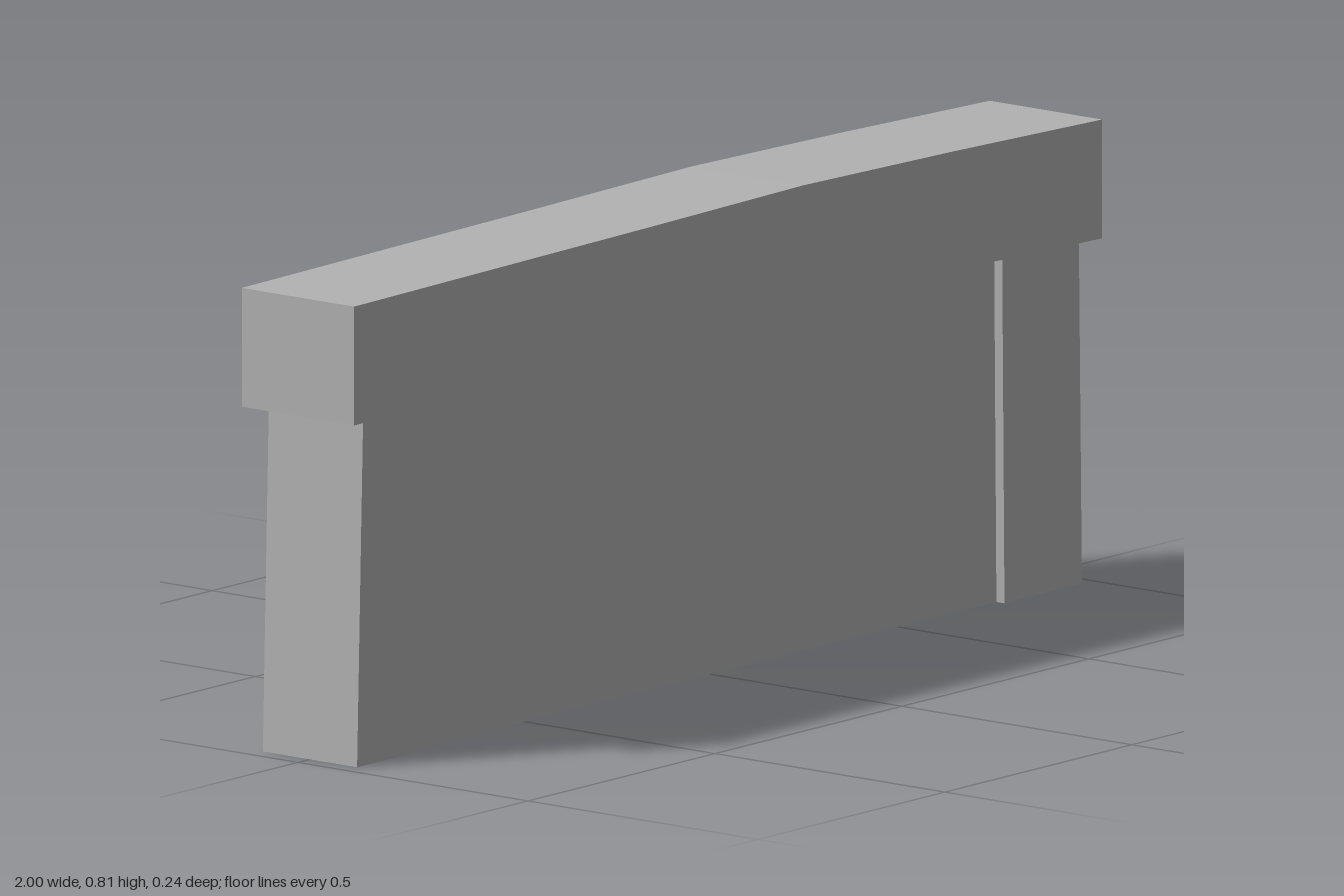
import * as THREE from 'three';

// Prism with an outline in x/y, centred on z = 0
function slab(name, points, depth, material) {
  const shape = new THREE.Shape(points.map(([x, y]) => new THREE.Vector2(x, y)));
  const geometry = new THREE.ExtrudeGeometry(shape, { depth, bevelEnabled: false });
  geometry.translate(0, 0, -depth / 2);
  const mesh = new THREE.Mesh(geometry, material);
  mesh.name = name;
  return mesh;
}

export function createModel() {
  const model = new THREE.Group();
  model.name = 'wall';
  const stone = new THREE.MeshStandardMaterial({ color: 0xb2b2b2 });
  stone.name = 'grey stone';

  // Coping with a gently bowed, uneven top
  const crest = [[-1, 0.802], [-0.6, 0.806], [-0.2, 0.81], [0.2, 0.815], [0.6, 0.808], [1, 0.798]];
  const thickness = 0.205;
  const underside = crest.map(([x, y]) => [x, y - thickness]);
  model.add(slab('coping', [...underside, ...[...crest].reverse()], 0.244, stone));

  // Recessed panel, reaching up to the coping's underside
  const panelTop = underside.slice(1, 5).reverse();
  model.add(slab('panel', [[-0.8, 0], [0.8, 0], [0.8, 0.598], ...panelTop, [-0.8, 0.599]], 0.17, stone));

  // Slightly leaning end piers
  model.add(slab('rightPier', [[-0.968, 0], [-0.767, 0], [-0.747, 0.602], [-0.952, 0.599]], 0.205, stone));
  model.add(slab('leftPier', [[0.763, 0], [0.97, 0], [0.962, 0.596], [0.757, 0.602]], 0.205, stone));

  return model;
}
